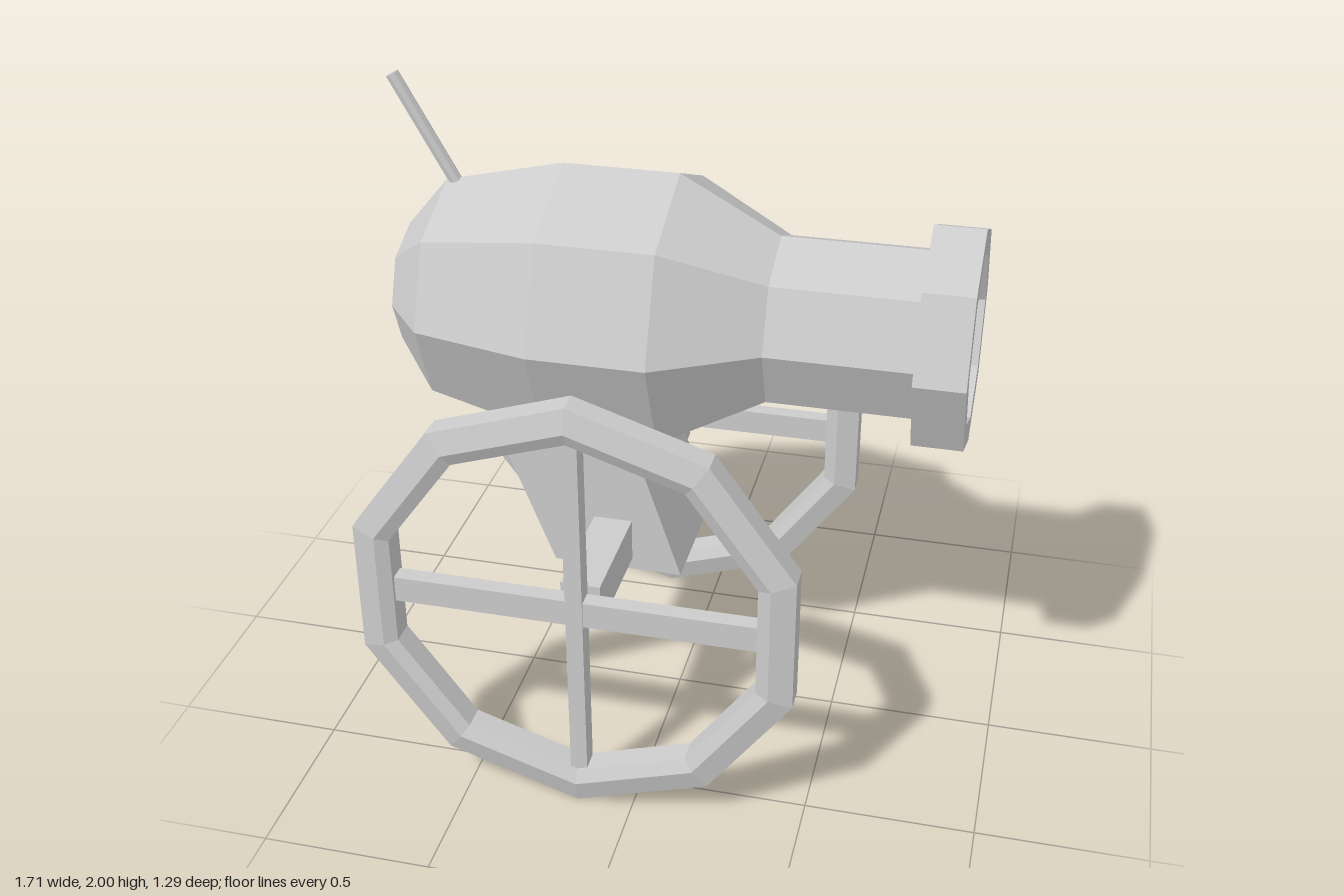
import * as THREE from 'three';

const material = new THREE.MeshStandardMaterial({ color: 0xcccccc, flatShading: true });

function part(name, geometry, parent, x = 0, y = 0, z = 0) {
  const mesh = new THREE.Mesh(geometry, material);
  mesh.name = name;
  mesh.position.set(x, y, z);
  parent.add(mesh);
  return mesh;
}

function lathe(points, sides) {
  return new THREE.LatheGeometry(points.map(([r, h]) => new THREE.Vector2(r, h)), sides);
}

// Ten-sided bevelled rim with two crossed bars
function createWheel(name, z) {
  const wheel = new THREE.Group();
  wheel.name = name;
  wheel.position.set(-0.165, 0.669, z);
  const rim = lathe([
    [0.668, -0.037], [0.668, 0.037], [0.597, 0.055], [0.557, 0.037],
    [0.557, -0.037], [0.597, -0.055], [0.668, -0.037],
  ], 10);
  part('rim', rim.rotateX(Math.PI / 2), wheel);
  part('uprightSpoke', new THREE.BoxGeometry(0.05, 1.18, 0.06), wheel, 0.005);
  part('levelSpoke', new THREE.BoxGeometry(1.1, 0.08, 0.05), wheel);
  return wheel;
}

export function createModel() {
  const cannon = new THREE.Group();
  cannon.name = 'cannon';

  // Eight-sided barrel: closed breech, swollen body, neck, muzzle ring, hollow bore
  const barrel = lathe([
    [0, -0.815], [0.183, -0.815], [0.333, -0.69], [0.414, -0.34], [0.414, 0],
    [0.254, 0.29], [0.254, 0.71], [0.33, 0.71], [0.33, 0.855],
    [0.254, 0.855], [0.218, 0.32], [0, 0.32],
  ], 8);
  part('barrel', barrel.rotateZ(-Math.PI / 2), cannon, 0, 1.353, 0);

  // Fuse leaning back from the breech
  const base = new THREE.Vector3(-0.655, 1.67, 0);
  const tip = new THREE.Vector3(-0.833, 1.99, 0);
  const direction = tip.clone().sub(base);
  const fuse = part('fuse', new THREE.CylinderGeometry(0.02, 0.02, direction.length(), 8), cannon);
  fuse.position.copy(base).add(tip).multiplyScalar(0.5);
  fuse.quaternion.setFromUnitVectors(new THREE.Vector3(0, 1, 0), direction.normalize());

  // Slanted support block reaching up into the barrel
  const outline = new THREE.Shape([
    [-0.34, 0.562], [0.05, 0.562], [-0.144, 1.15], [-0.568, 1.15],
  ].map(([x, y]) => new THREE.Vector2(x, y)));
  const support = new THREE.ExtrudeGeometry(outline, { depth: 0.414, bevelEnabled: false });
  part('support', support, cannon, 0, 0, -0.207);

  // Square axle and a wheel at each end
  part('axle', new THREE.BoxGeometry(0.116, 0.132, 1.12), cannon, -0.157, 0.666, 0);
  cannon.add(createWheel('frontWheel', 0.59), createWheel('backWheel', -0.59));

  return cannon;
}
